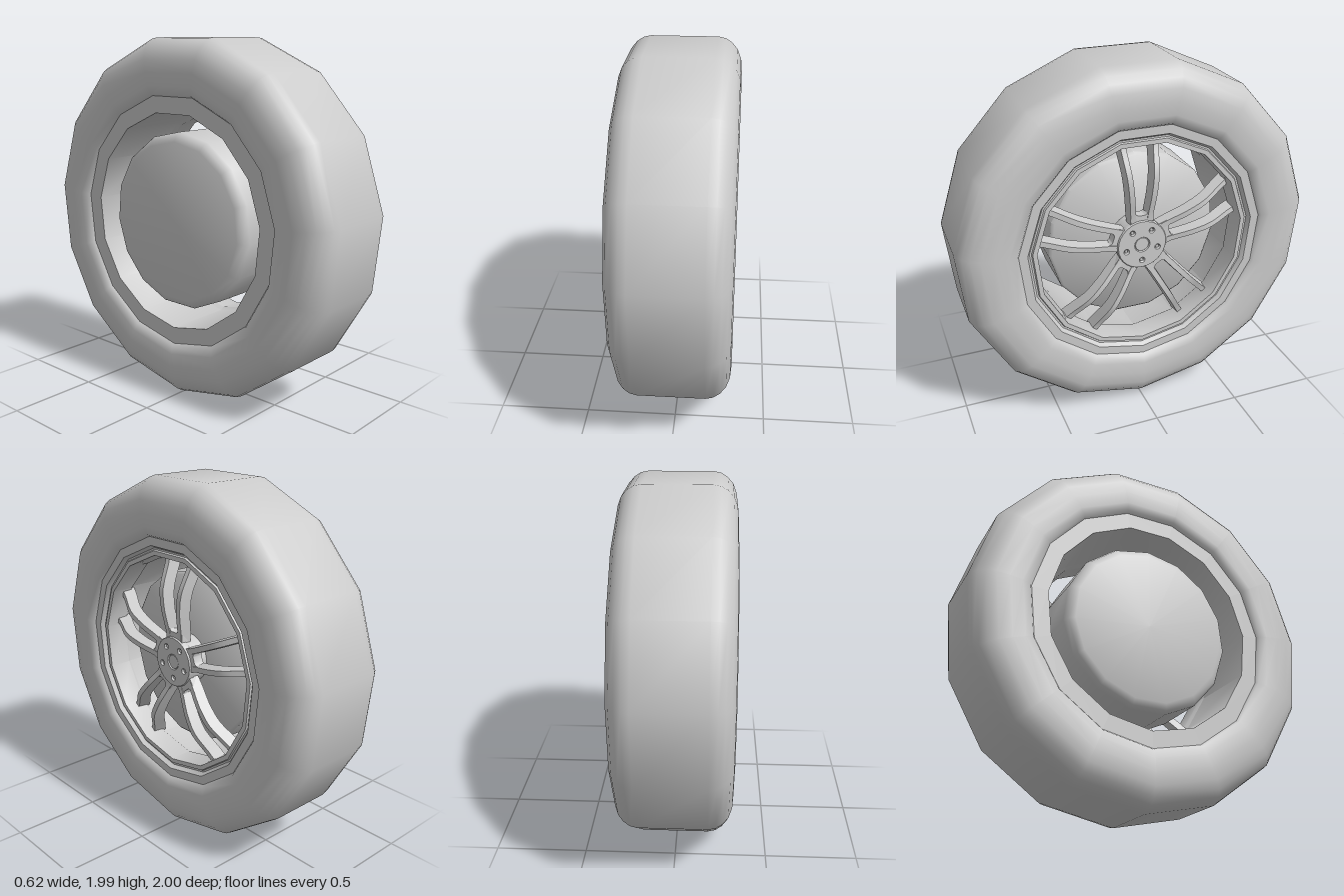
import * as THREE from 'three';
import { toCreasedNormals } from 'three/addons/utils/BufferGeometryUtils.js';

const SIDES = 15;
const RADIUS = 1.0055;
const material = new THREE.MeshStandardMaterial({ color: 0xcccccc });

function addMesh(parent, name, geometry, crease = 0.7) {
  const mesh = new THREE.Mesh(toCreasedNormals(geometry, crease), material);
  mesh.name = name;
  parent.add(mesh);
  return mesh;
}

// Revolves [radius, depth] pairs around the axle (local z)
function revolve(points, start = 0, sides = SIDES) {
  const profile = points.map(([r, d]) => new THREE.Vector2(r, d));
  return new THREE.LatheGeometry(profile, sides, start).rotateX(Math.PI / 2);
}

// One curved spoke: a box whose outline widens to the back and bows outward
function spokeGeometry(side) {
  const g = new THREE.BoxGeometry(1, 1, 1, 1, 12, 1);
  const p = g.attributes.position;
  const { lerp, smoothstep } = THREE.MathUtils;
  for (let i = 0; i < p.count; i++) {
    const t = p.getY(i) + 0.5;
    const back = p.getZ(i) < 0;
    const front = 0.24 + 0.025 * smoothstep(t, 0, 0.4) - 0.075 * smoothstep(t, 0.5, 1);
    const width = back ? 0.045 : 0.03;
    p.setXYZ(i,
      side * lerp(0.045, 0.097, t) + p.getX(i) * width,
      lerp(0.125, 0.61, t),
      back ? front - lerp(0.06, 0.08, t) : front);
  }
  return g;
}

function circle(radius, x = 0, y = 0) {
  return new THREE.Path().absarc(x, y, radius, 0, Math.PI * 2, true);
}

export function createModel() {
  const model = new THREE.Group();
  model.name = 'wheel';

  // Local z is the axle, pointing to the outer face
  const wheel = new THREE.Group();
  wheel.name = 'wheelAssembly';
  wheel.rotation.y = Math.PI / 2;
  wheel.position.y = RADIUS;
  model.add(wheel);

  // Tyre: mirrored rounded profile
  const half = [[0.69, 0.275], [0.705, 0.297], [0.75, 0.306], [0.82, 0.31], [0.89, 0.304],
    [0.94, 0.285], [0.975, 0.255], [0.997, 0.22], [RADIUS, 0.18]];
  const tyre = [...half.map(([r, d]) => [r, -d]), ...half.slice().reverse()];
  addMesh(wheel, 'tyre', revolve(tyre), 0.85);

  // Rim: flanges, stepped outer lip and barrel
  addMesh(wheel, 'rim', revolve([
    [0.6, -0.28], [0.7, -0.28], [0.7, 0.28], [0.645, 0.28], [0.63, 0.255],
    [0.62, 0.255], [0.615, 0.265], [0.59, 0.265], [0.585, 0.14], [0.6, 0.12], [0.6, -0.28],
  ]));

  // Brake drum behind the spokes
  addMesh(wheel, 'brakeDrum', revolve([
    [0, -0.265], [0.44, -0.265], [0.475, -0.25], [0.49, -0.22],
    [0.49, 0.11], [0.475, 0.125], [0, 0.125],
  ], Math.PI), 0.85);

  // Hub plate with bolt holes and a shallow centre recess
  const plate = new THREE.Shape().absarc(0, 0, 0.138, 0, Math.PI * 2, false);
  plate.holes.push(circle(0.045));
  const bolts = [];
  for (let i = 0; i < 5; i++) {
    const a = -Math.PI / 2 + i * Math.PI * 0.4;
    bolts.push([0.095 * Math.cos(a), 0.095 * Math.sin(a)]);
    plate.holes.push(circle(0.017, ...bolts[i]));
  }
  addMesh(wheel, 'hubPlate', new THREE.ExtrudeGeometry(plate, {
    depth: 0.03, curveSegments: 14, bevelThickness: 0.005, bevelSize: 0.004, bevelSegments: 1,
  })).position.z = 0.215;
  addMesh(wheel, 'hubCore', revolve([[0.138, 0.12], [0.138, 0.22], [0, 0.22]], 0, 28));
  addMesh(wheel, 'centreCap', revolve([[0.044, 0.2], [0.044, 0.24], [0.038, 0.246], [0, 0.246]], 0, 20));

  // Wheel bolts sunk into the holes
  for (const [x, y] of bolts) {
    const bolt = new THREE.CylinderGeometry(0.01, 0.01, 0.03, 6).rotateX(Math.PI / 2);
    addMesh(wheel, 'wheelBolt', bolt).position.set(x, y, 0.227);
  }

  // Five twin spokes joined by a web at the hub
  const webShape = new THREE.Shape();
  webShape.moveTo(-0.066, 0.1);
  webShape.lineTo(0.066, 0.1);
  webShape.lineTo(0.066, 0.19);
  webShape.lineTo(0.04, 0.2);
  webShape.quadraticCurveTo(0.034, 0.172, 0.015, 0.17);
  webShape.lineTo(-0.015, 0.17);
  webShape.quadraticCurveTo(-0.034, 0.172, -0.04, 0.2);
  webShape.lineTo(-0.066, 0.19);
  for (let i = 0; i < 5; i++) {
    const pair = new THREE.Group();
    pair.name = 'twinSpoke';
    pair.rotation.z = i * Math.PI * 0.4;
    wheel.add(pair);
    addMesh(pair, 'leftSpoke', spokeGeometry(-1), 0.5);
    addMesh(pair, 'rightSpoke', spokeGeometry(1), 0.5);
    const web = new THREE.ExtrudeGeometry(webShape, { depth: 0.06, bevelEnabled: false, curveSegments: 5 });
    addMesh(pair, 'spokeWeb', web).position.z = 0.18;
  }

  return model;
}
